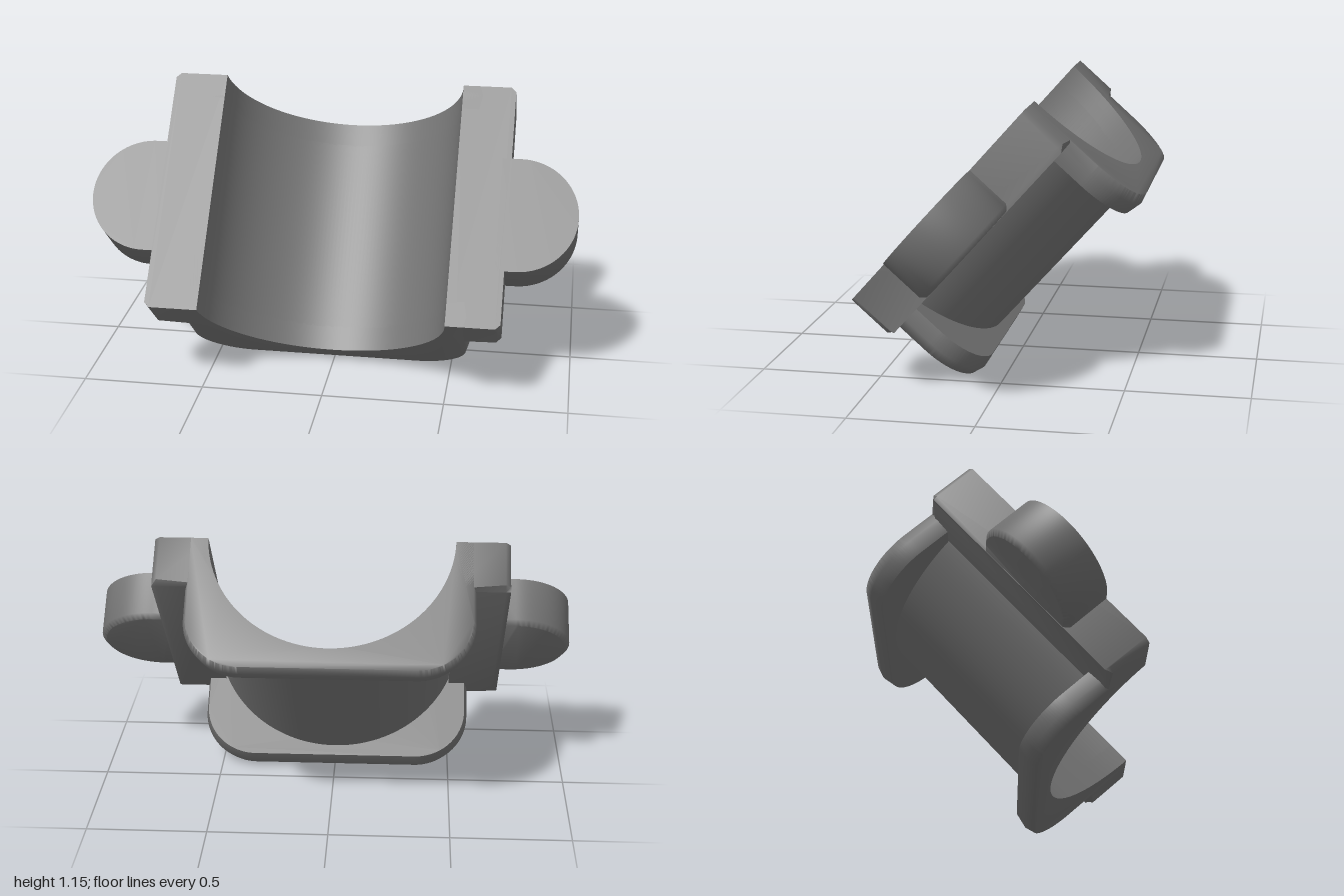
import * as THREE from 'three';
import { toCreasedNormals } from 'three/addons/utils/BufferGeometryUtils.js';

const LENGTH = 1.038, HALF = LENGTH / 2;   // along the bore axis (local z)
const RIM = 0.104;                         // thickness of each end rim
const BORE = 0.5, BORE_Y = 0.02;           // bore radius and centre height
const material = new THREE.MeshStandardMaterial({ color: 0x737373 });

function addMesh(group, name, geometry, crease) {
  const mesh = new THREE.Mesh(toCreasedNormals(geometry, crease), material);
  mesh.name = name;
  group.add(mesh);
  return mesh;
}

// Move every vertex of a geometry by a rule
function reshape(geometry, rule) {
  const p = geometry.attributes.position, v = new THREE.Vector3();
  for (let i = 0; i < p.count; i++) {
    rule(v.fromBufferAttribute(p, i));
    p.setXYZ(i, v.x, v.y, v.z);
  }
  return geometry;
}

// Closes a section with the bore, from (-0.5, 0) round to (0.5, 0)
function cutBore(shape) {
  const a = Math.asin(BORE_Y / BORE);
  shape.lineTo(-BORE * Math.cos(a), 0);
  shape.absarc(0, BORE_Y, BORE, Math.PI + a, 2 * Math.PI - a, false);
  return shape;
}

// Thin half shell between the rims
function shellGeometry() {
  const R = 0.542, s = new THREE.Shape();
  const a = Math.asin(BORE_Y / R);
  s.moveTo(0.5, 0);
  s.lineTo(R * Math.cos(a), 0);
  s.absarc(0, BORE_Y, R, -a, -Math.PI + a, true);
  cutBore(s);
  const depth = LENGTH - 2 * RIM + 0.01;
  return new THREE.ExtrudeGeometry(s, { depth, bevelEnabled: false, curveSegments: 48 })
    .translate(0, 0, -depth / 2);
}

// Rounded rectangular rim with a crowned outer edge; +z is its outer end
function rimGeometry() {
  const w = 0.57, b = -0.567, r = 0.22, s = new THREE.Shape();
  s.moveTo(0.5, 0);
  s.lineTo(w, 0);
  s.lineTo(w, b + r);
  s.absarc(w - r, b + r, r, 0, -Math.PI / 2, true);
  s.lineTo(-w + r, b);
  s.absarc(-w + r, b + r, r, -Math.PI / 2, -Math.PI, true);
  s.lineTo(-w, 0);
  cutBore(s);
  const geometry = new THREE.ExtrudeGeometry(s, { depth: RIM, steps: 2, bevelEnabled: false, curveSegments: 48 })
    .translate(0, 0, -RIM / 2);
  return reshape(geometry, v => {
    if (Math.abs(v.z) > 0.01) return;
    v.z = 0.01;
    if (Math.hypot(v.x, v.y - BORE_Y) < BORE + 0.01) return;
    v.x += 0.057 * (v.x - THREE.MathUtils.clamp(v.x, r - w, w - r));
    v.y += 0.057 * Math.min(v.y - b - r, 0);
  });
}

// Side flange: end profile drawn across x, with chamfered outer corners
function flangeGeometry(side) {
  const x0 = 0.5, x1 = 0.718, c = 0.02, depth = x1 - x0;
  const pts = [[-HALF, 0], [-HALF, -0.19], [0.025 - HALF, -0.21], [HALF - 0.025, -0.21], [HALF, -0.19], [HALF, 0]];
  const s = new THREE.Shape(pts.map(([z, y]) => new THREE.Vector2(z, y)));
  const geometry = new THREE.ExtrudeGeometry(s, { depth, steps: 2, bevelEnabled: false })
    .rotateY(Math.PI / 2)
    .translate(side > 0 ? x0 : -x1, 0, 0);
  return reshape(geometry, v => {
    const x = Math.abs(v.x);
    if (x > x0 + 0.01 && x < x1 - 0.01) v.x = side * (x1 - c);
    if (v.y < -0.1 && v.y > -0.2) v.y = Math.max(-0.188 - 0.11 * (x1 - Math.abs(v.x)), -0.209);
    if (x > x1 - 0.01) v.z = THREE.MathUtils.clamp(v.z, c - HALF, HALF - c);
  });
}

// Round-ended lug with an eased lower edge
function lugGeometry(side) {
  const r = 0.241, cx = 1 - r, cz = 0.037, depth = 0.208, ease = 0.083;
  const s = new THREE.Shape();
  s.moveTo(side * 0.68, cz - r);
  s.lineTo(side * cx, cz - r);
  s.absarc(side * cx, cz, r, -Math.PI / 2, Math.PI / 2, side < 0);
  s.lineTo(side * 0.68, cz + r);
  const geometry = new THREE.ExtrudeGeometry(s, { depth, steps: 2, bevelEnabled: false, curveSegments: 32 })
    .rotateX(Math.PI / 2);
  return reshape(geometry, v => {
    if (v.y < 0.01 - depth) {
      v.x -= side * ease * Math.max(Math.abs(v.x) - cx, 0);
      v.z -= ease * (v.z - cz);
    } else if (v.y < -0.01) v.y = -0.188;
  });
}

export function createModel() {
  const model = new THREE.Group();
  model.name = 'bearingCap';

  // Tilted frame: x across, y out of the split face, z down the bore axis
  const cap = new THREE.Group();
  cap.name = 'tiltedCap';
  cap.rotation.x = 0.8433;
  cap.position.set(0, 0.767, 0.21);
  model.add(cap);

  addMesh(cap, 'halfShell', shellGeometry(), 0.6);
  for (const end of [-1, 1]) {
    const rim = addMesh(cap, end < 0 ? 'upperRim' : 'lowerRim', rimGeometry(), 1.325);
    rim.position.z = end * (HALF - RIM / 2);
    if (end < 0) rim.rotation.y = Math.PI;
  }
  for (const side of [-1, 1]) {
    const label = side < 0 ? 'right' : 'left';
    addMesh(cap, label + 'Flange', flangeGeometry(side), 0.9);
    addMesh(cap, label + 'Lug', lugGeometry(side), 0.9);
  }
  return model;
}
